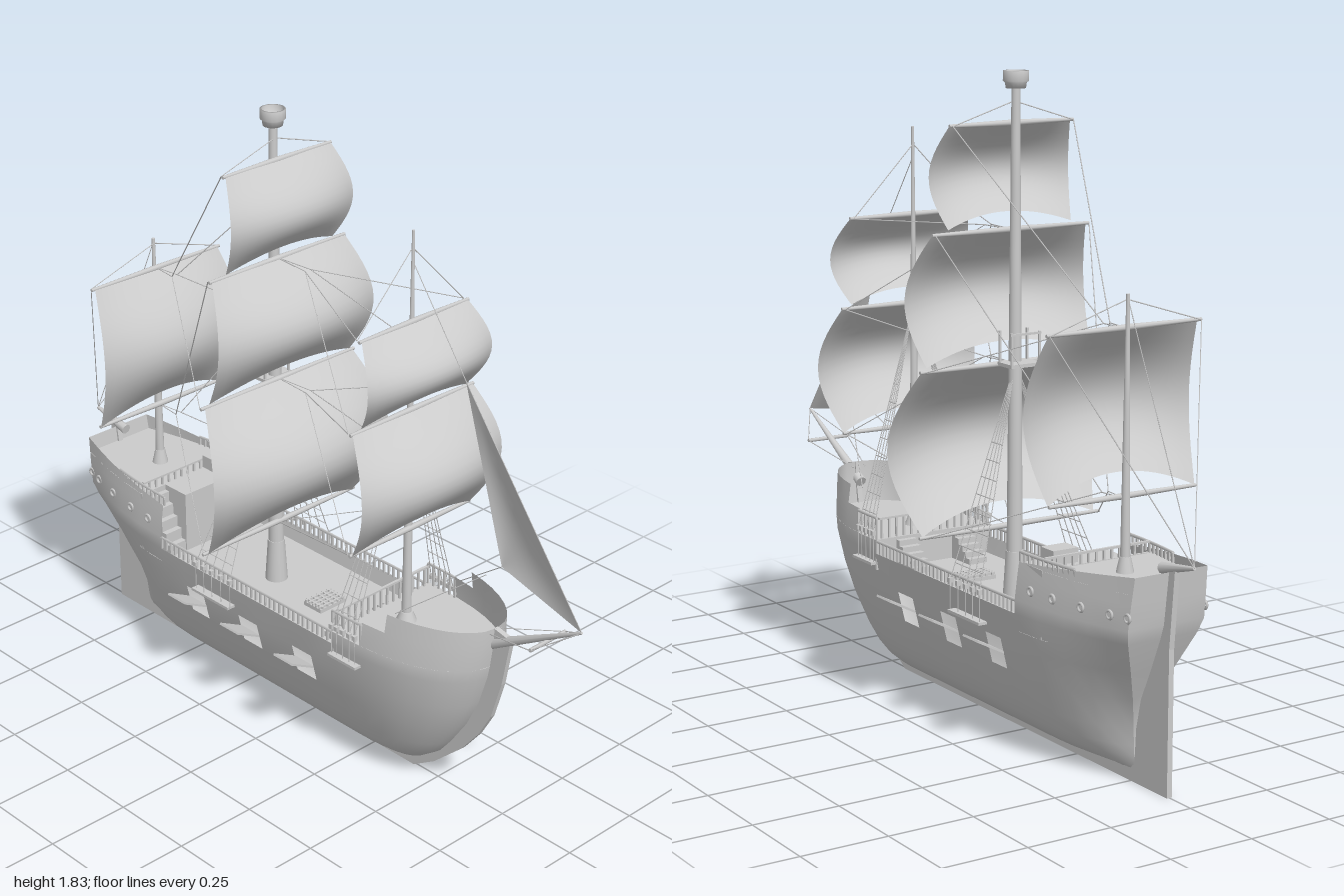
import * as THREE from 'three';
import { mergeGeometries } from 'three/addons/utils/BufferGeometryUtils.js';

const solid = new THREE.MeshStandardMaterial({ color: 0xcccccc });
const sheet = new THREE.MeshStandardMaterial({ color: 0xcccccc, side: THREE.DoubleSide });
const SIDES = [-1, 1];
const V = (x, y, z) => new THREE.Vector3(x, y, z);

// Linear lookup in a list of [key, value] pairs
function lookup(table, k) {
  let i = 1;
  while (i < table.length - 1 && table[i][0] < k) i++;
  const [a, b] = [table[i - 1], table[i]];
  return THREE.MathUtils.lerp(a[1], b[1], THREE.MathUtils.clamp((k - a[0]) / (b[0] - a[0]), 0, 1));
}

// Grid surface from point(i, j), leaving out cells where skip(i, j) is true
function surface(nu, nv, point, skip = () => false) {
  const pos = [], idx = [];
  for (let j = 0; j <= nv; j++) for (let i = 0; i <= nu; i++) pos.push(...point(i, j));
  for (let j = 0; j < nv; j++) for (let i = 0; i < nu; i++) {
    if (skip(i, j)) continue;
    const a = j * (nu + 1) + i, c = a + nu + 1;
    idx.push(a, a + 1, c + 1, a, c + 1, c);
  }
  const g = new THREE.BufferGeometry();
  g.setAttribute('position', new THREE.Float32BufferAttribute(pos, 3));
  g.setIndex(idx);
  g.computeVertexNormals();
  return g;
}

// Round bar between two points
function beam(a, b, r0, r1 = r0, n = 6) {
  const d = b.clone().sub(a), len = d.length();
  return new THREE.CylinderGeometry(r1, r0, len, n).translate(0, len / 2, 0)
    .applyQuaternion(new THREE.Quaternion().setFromUnitVectors(V(0, 1, 0), d.normalize()))
    .translate(a.x, a.y, a.z);
}
const box = (w, h, d, x, y, z) => new THREE.BoxGeometry(w, h, d).translate(x, y, z);
const rope = (a, b) => beam(a, b, 0.0016, 0.0016, 4);

// Hull form: beam, bow and stern lines by height
const WIDTH = [[.03, .008], [.045, .055], [.07, .085], [.1, .105], [.15, .128], [.235, .156], [.325, .178], [.42, .195], [.46, .195], [.53, .186], [.605, .174]];
const BOW = [[.03, .42], [.1, .515], [.2, .595], [.3, .645], [.375, .675], [.5, .7], [.6, .705]];
const STERN = [[.03, -.765], [.2, -.775], [.33, -.835], [.45, -.885], [.605, -.905]];
const STERN_FULLNESS = [[.03, .1], [.2, .14], [.325, .4], [.45, .62], [.605, .66]];
const bowZ = y => lookup(BOW, y), sternZ = y => lookup(STERN, y);
function halfWidth(z, y) {
  const w = lookup(WIDTH, y), c = t => Math.min(Math.max(t, 0), 1);
  if (z > .26) return w * Math.sqrt(1 - c((z - .26) / (bowZ(y) - .26)) ** 2.6);
  const t = c((-.475 - z) / (-.475 - sternZ(y)));
  return w * (1 - (1 - lookup(STERN_FULLNESS, y)) * t * t);
}
const ROWS = [.03, .045, .07, .1, .15, .235, .325, .42, .46, .53, .585];
const AFT = [1, .85, .7, .5, .25], MID = [-.475, -.38, -.305, -.15, -.07, .08, .16, .26];
const FORE = [.25, .43, .55, .65, .75, .83, .9, .95, .98, 1];
const COLS = AFT.length + MID.length + FORE.length;
function hullPoint(i, j, s) {
  let y = ROWS[j], z;
  if (i <= AFT.length) {
    const t = i < AFT.length ? AFT[i] : 0;
    if (j === ROWS.length - 1) y = .56 + .045 * t;
    z = -.475 + t * (sternZ(y) + .475);
  } else if (i < AFT.length + MID.length) z = MID[i - AFT.length];
  else z = .26 + FORE[i - AFT.length - MID.length] * (bowZ(y) - .26);
  return [s * halfWidth(z, y), y, z];
}
function hullGap(i, j) {
  const m = i - AFT.length;
  if (j === 5 && (m === 1 || m === 3 || m === 5)) return true; // gun ports
  if (m < 0 || j < 7) return false;
  if (m < 7) return true;                                      // low waist
  return (m === 7 && j >= 8) || (m === 8 && j >= 9);           // steps up to the bow
}
const deck = (y, z0, z1) => surface(24, 2, (i, j) => {
  const z = z0 + (z1 - z0) * Math.sin(i / 24 * Math.PI / 2);
  return [(1 - j) * halfWidth(z, y), y, z];
});

// Sail filled by the wind: belly grows toward the centre, foot is arched
const sail = (top, bot, z, wTop, wBot, swell, depth) => surface(20, 14, (i, j) => {
  const u = i / 10 - 1, v = j / 14, s = Math.sin(Math.PI * v), c = 1 - u * u;
  const x = u * (wTop + (wBot - wTop) * v + swell * s);
  const y = top - v * (top - bot - c * .13 * (top - bot));
  return [x, y, z + .012 + depth * (.5 * s + .45 * c * Math.sin(Math.PI * Math.pow(v, 1.1) * .85))];
});

// Baluster rail following the hull edge
function railing(z0, z1, y, h) {
  const parts = [], n = Math.round(Math.abs(z1 - z0) / .02);
  for (const s of SIDES) {
    let last;
    for (let i = 0; i <= n; i++) {
      const z = z0 + (z1 - z0) * i / n, x = s * (halfWidth(z, y) - .005);
      parts.push(box(.006, h, .006, x, y + h / 2, z));
      const p = V(x, y + h, z);
      if (last) parts.push(beam(last, p, .005, .005, 4));
      last = p;
    }
  }
  return parts;
}
function crossRail(z, y, h, w) {
  const parts = [box(2 * w, .006, .008, 0, y + h, z)];
  for (let x = -w; x <= w; x += .025) parts.push(box(.006, h, .006, x, y + h / 2, z));
  return parts;
}
const stairs = (x, yLow, yHigh, zLow, zHigh) => Array.from({ length: 5 }, (_, i) => {
  const h = (yHigh - yLow) * (i + 1) / 5.5;
  return box(.06, h, Math.abs(zHigh - zLow) / 5, x, yLow + h / 2, zLow + (zHigh - zLow) * (i + .5) / 5);
});
// Fan of shrouds with ratlines, both sides
function shrouds(top, y, zs) {
  const parts = [];
  for (const s of SIDES) {
    const feet = zs.map(z => V(s * (halfWidth(z, y) + .006), y, z));
    for (const f of feet) parts.push(rope(f, top), rope(f, V(f.x, y - .09, f.z)), box(.012, .014, .012, f.x, y, f.z));
    for (let k = 1; k < 9; k++) parts.push(rope(feet[0].clone().lerp(top, k * .08), feet.at(-1).clone().lerp(top, k * .08)));
  }
  return parts;
}

export function createModel() {
  const ship = new THREE.Group();
  const add = (name, geo, mat = solid) => {
    const mesh = new THREE.Mesh(Array.isArray(geo) ? mergeGeometries(geo) : geo, mat);
    mesh.name = name;
    ship.add(mesh);
  };

  // Hull, transom and decks
  add('hullRight', surface(COLS - 1, ROWS.length - 1, (i, j) => hullPoint(i, j, -1), hullGap), sheet);
  add('hullLeft', surface(COLS - 1, ROWS.length - 1, (i, j) => hullPoint(i, j, 1), hullGap), sheet);
  add('transom', surface(1, ROWS.length - 1, (i, j) => hullPoint(0, j, 1 - 2 * i)), sheet);
  add('mainDeck', deck(.37, -.6, .27), sheet);
  add('foreDeck', deck(.46, .26, bowZ(.46)), sheet);
  add('poopDeck', deck(.558, -.575, sternZ(.558)), sheet);
  add('bulkheads', [box(.385, .09, .008, 0, .415, .262), box(.36, .19, .008, 0, .465, -.577),
    box(.27, .19, .095, .045, .465, -.528)]);

  // Keel, stem and rudder in one flat plate
  const outline = [[.70, .585], [.745, .575], [.76, .56], [.735, .42], [.70, .3], [.655, .22], [.595, .145], [.49, .05], [.41, 0], [-.91, 0], [-.91, .4],
    [-.93, .62], [-.9, .61], [-.875, .45], [-.825, .33], [-.765, .2], [-.755, .04], [.4, .04], [.5, .1], [.585, .2], [.635, .3], [.665, .375], [.69, .5]];
  add('keelAndRudder', new THREE.ExtrudeGeometry(new THREE.Shape(outline.map(p => new THREE.Vector2(...p))), { depth: .016, bevelEnabled: false })
    .rotateY(-Math.PI / 2).translate(.008, 0, 0));

  // Gun port lids, portholes and channels
  const lids = [], portholes = [], channels = [];
  for (const s of SIDES) {
    for (const z of [.12, -.11, -.3425]) lids.push(new THREE.BoxGeometry(.095, .006, .078).rotateZ(s * .48).translate(s * .208, .304, z));
    for (const z of [-.54, -.63, -.735, -.83, -.885])
      portholes.push(new THREE.TorusGeometry(.011, .004, 6, 14).rotateY(Math.PI / 2).translate(s * halfWidth(z, .495), .495, z));
    channels.push(box(.03, .008, .16, s * .195, .353, -.24), box(.025, .008, .11, s * .197, .39, .315));
  }
  add('gunPortLids', lids);
  add('portholes', portholes);
  add('channels', channels);

  // Rails and deck fittings
  add('waistRail', railing(-.475, .26, .42, .035));
  add('foreRail', [...railing(.26, .37, .46, .065), ...crossRail(.265, .46, .06, .18)]);
  add('poopRail', [...railing(-.475, -.7, .56, .027), ...crossRail(-.58, .56, .03, .17)]);
  add('stairs', [...stairs(-.095, .37, .46, .16, .26), ...stairs(.095, .37, .46, .16, .26), ...stairs(-.12, .37, .56, -.485, -.575)]);
  const hatch = [box(.1, .012, .07, 0, .376, .03)];
  for (let i = 0; i < 5; i++) hatch.push(box(.006, .008, .07, -.04 + i * .02, .385, .03), box(.1, .008, .005, 0, .385, .002 + i * .014));
  add('hatch', hatch);
  add('poopLocker', box(.08, .04, .06, .1, .585, -.545));

  // Masts and spars
  add('foreMast', [beam(V(0, .45, .362), V(0, 1.64, .362), .015, .004, 12), beam(V(0, .46, .362), V(0, .49, .362), .03, .018, 12)]);
  add('mainMast', [beam(V(0, .36, -.178), V(0, .5, -.178), .034, .025, 16), beam(V(0, .5, -.178), V(0, 1.8, -.178), .023, .012, 16)]);
  add('mizzenMast', [beam(V(0, .55, -.703), V(0, 1.295, -.703), .014, .005, 12), beam(V(0, .555, -.703), V(0, .6, -.703), .025, .015, 12)]);
  add('crowsNest', new THREE.LatheGeometry([[0, 1.785], [.028, 1.785], [.03, 1.8], [.036, 1.805], [.036, 1.832], [.03, 1.832], [.029, 1.8], [0, 1.8]]
    .map(p => new THREE.Vector2(...p)), 16).translate(0, 0, -.178), sheet);
  const top = [box(.1, .01, .07, 0, 1.033, -.2)];
  for (const s of SIDES) for (const z of [-.17, -.23]) top.push(box(.006, .09, .006, s * .045, 1.08, z));
  add('fightingTop', [...top, box(.1, .006, .006, 0, 1.12, -.23)]);
  add('bowsprit', [beam(V(0, .525, .68), V(0, .7, 1), .017, .004, 10), beam(V(-.07, .625, .885), V(.07, .625, .885), .006)]);
  add('boomkin', beam(V(0, .607, -.865), V(0, .635, -1), .016, .005, 8));

  // Square sails: top, bottom, z, half widths, side swell, depth
  const sails = {
    mainCourse: [1.03, .57, -.165, .285, .285, .055, .19], mainTopsail: [1.4, 1.04, -.165, .25, .27, .035, .145],
    mainTopgallant: [1.69, 1.41, -.165, .195, .2, .03, .11], foreCourse: [1.125, .76, .365, .23, .23, .04, .155],
    foreTopsail: [1.385, 1.135, .365, .2, .2, .035, .12], mizzenSail: [1.205, .76, -.7, .235, .235, .03, .14],
  };
  for (const [name, p] of Object.entries(sails)) add(name, sail(...p), sheet);

  const yards = [[.295, 1.03, -.16], [.3, .57, -.16], [.255, 1.4, -.16], [.2, 1.69, -.16], [.235, 1.125, .372],
    [.235, .76, .372], [.205, 1.385, .372], [.245, 1.205, -.692], [.235, .76, -.692]];
  add('yards', yards.flatMap(([w, y, z]) => SIDES.map(s => beam(V(0, y, z), V(s * w, y, z), .009, .005, 8))));

  // Jib
  const [tip, head, clew] = [V(0, .7, 1), V(0, 1.275, .563), V(.03, .755, .686)];
  add('jib', surface(12, 8, (i, j) => {
    const p = tip.clone().lerp(head, i / 12).lerp(clew, j / 8);
    p.x += .02 * Math.sin(Math.PI * i / 12) * Math.sin(Math.PI * j / 8);
    return p.toArray();
  }), sheet);

  // Standing and running rigging
  add('shrouds', [...shrouds(V(0, 1.03, -.178), .44, [-.16, -.2, -.24, -.275, -.31]), ...shrouds(V(0, 1.125, .362), .48, [.355, .335, .31, .285, .265])]);
  const lines = [
    [.2, 1.385, .36, .01, 1.4, -.04], [.23, 1.125, .36, .01, 1.4, -.04], [.23, 1.125, .36, .01, 1.03, -.04], [.23, .76, .36, .01, 1.03, -.04],
    [.23, .76, .36, .01, .57, -.15], [.01, 1.4, -.04, 0, 1.4, -.17], [.01, 1.03, -.04, 0, 1.03, -.17],
    [.195, 1.69, -.17, .01, 1.205, -.61], [.25, 1.4, -.17, .01, .755, -.61], [.29, 1.03, -.17, .01, 1.205, -.61], [.29, .57, -.17, .01, .755, -.61],
    [.01, 1.205, -.61, 0, 1.205, -.7], [.01, .755, -.61, 0, .755, -.7],
    [.24, 1.205, -.7, 0, .635, -1], [0, 1.29, -.7, 0, .635, -1],
    [0, 1.75, -.17, .195, 1.69, -.17], [0, 1.59, .36, .2, 1.385, .36], [0, 1.28, -.7, .24, 1.205, -.7],
    [0, 1.555, .36, 0, 1.275, .563], [0, 1.275, .563, 0, .7, 1], [.03, .755, .686, .13, .57, .445], [.07, .625, .885, .02, .57, .69], [.07, .625, .885, 0, .7, 1],
  ];
  add('rigging', lines.flatMap(([a, b, c, d, e, f]) => SIDES.map(s => rope(V(s * a, b, c), V(s * d, e, f)))));
  return ship;
}
